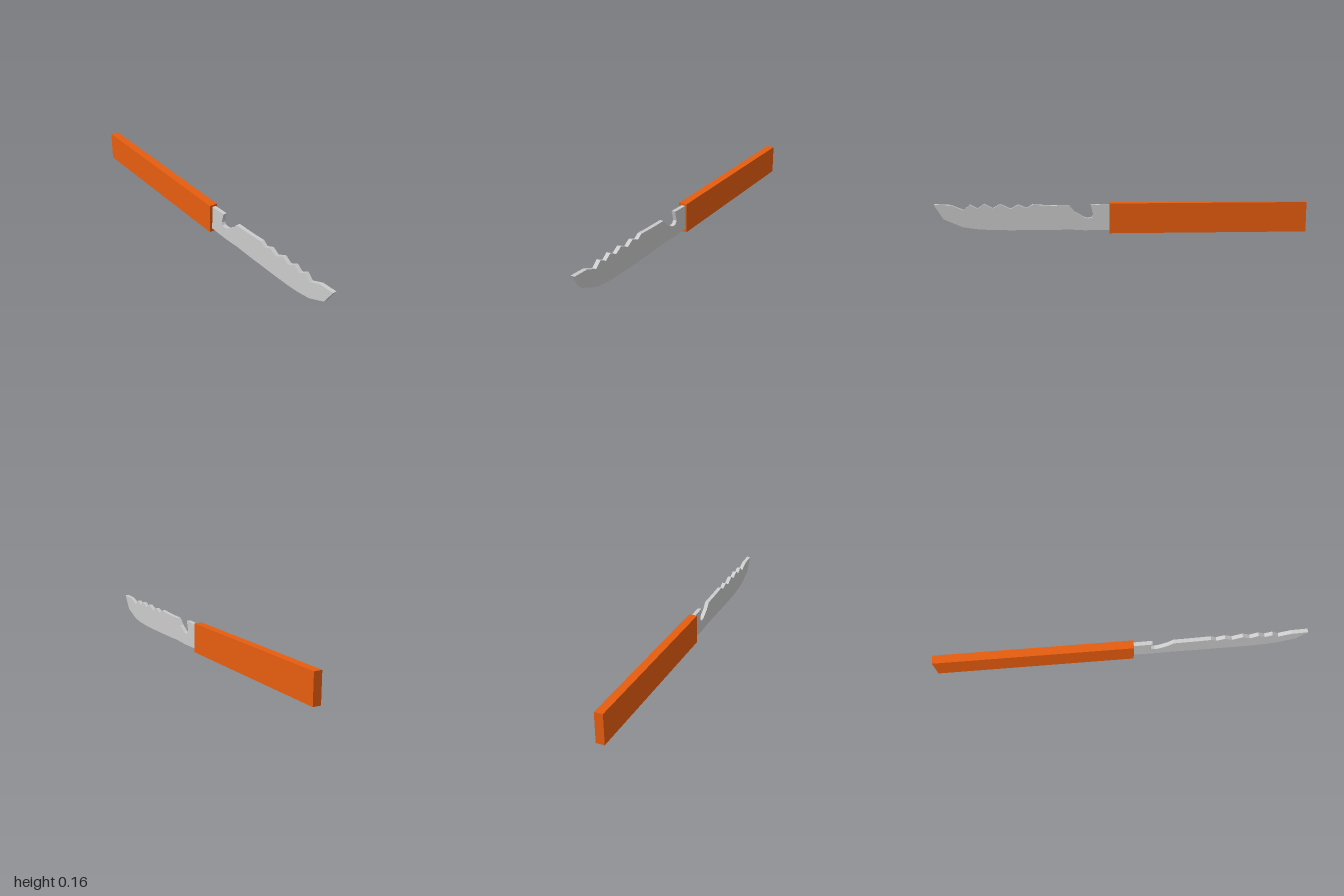
import * as THREE from 'three';

export function createModel() {
  const model = new THREE.Group();

  // Handle: plain rectangular bar
  const handle = new THREE.Mesh(
    new THREE.BoxGeometry(0.045, 0.162, 1.067),
    new THREE.MeshStandardMaterial({ color: 0xe85d0f, flatShading: true })
  );
  handle.name = 'handle';
  handle.position.set(0, 0.081, -0.4665);
  model.add(handle);

  // Blade side outline as [z, y]
  const outline = [
    // underside, from inside the handle to the tip
    [0.03, 0.018], [0.2, 0.016], [0.28, 0.021], [0.4, 0.019], [0.6, 0.02], [0.7, 0.022],
    [0.78, 0.028], [0.85, 0.039], [0.95, 0.082], [1, 0.162],
    // serrated top
    [0.91, 0.157], [0.845, 0.13], [0.81, 0.159], [0.77, 0.138], [0.735, 0.162],
    [0.69, 0.138], [0.65, 0.161], [0.595, 0.135], [0.555, 0.157], [0.51, 0.138],
    [0.48, 0.157], [0.4, 0.152], [0.28, 0.148],
    // hooked notch in front of the handle
    [0.25, 0.115], [0.2, 0.085], [0.18, 0.081], [0.162, 0.086], [0.154, 0.1],
    [0.168, 0.156], [0.1, 0.153], [0.03, 0.15],
  ];
  const shape = new THREE.Shape(outline.map(([z, y]) => new THREE.Vector2(z, y)));
  const bladeGeometry = new THREE.ExtrudeGeometry(shape, { depth: 0.0215, bevelEnabled: false });
  bladeGeometry.rotateY(-Math.PI / 2).translate(0.0145, 0, 0);
  const blade = new THREE.Mesh(
    bladeGeometry,
    new THREE.MeshStandardMaterial({ color: 0xcccccc, flatShading: true })
  );
  blade.name = 'blade';
  model.add(blade);

  return model;
}
